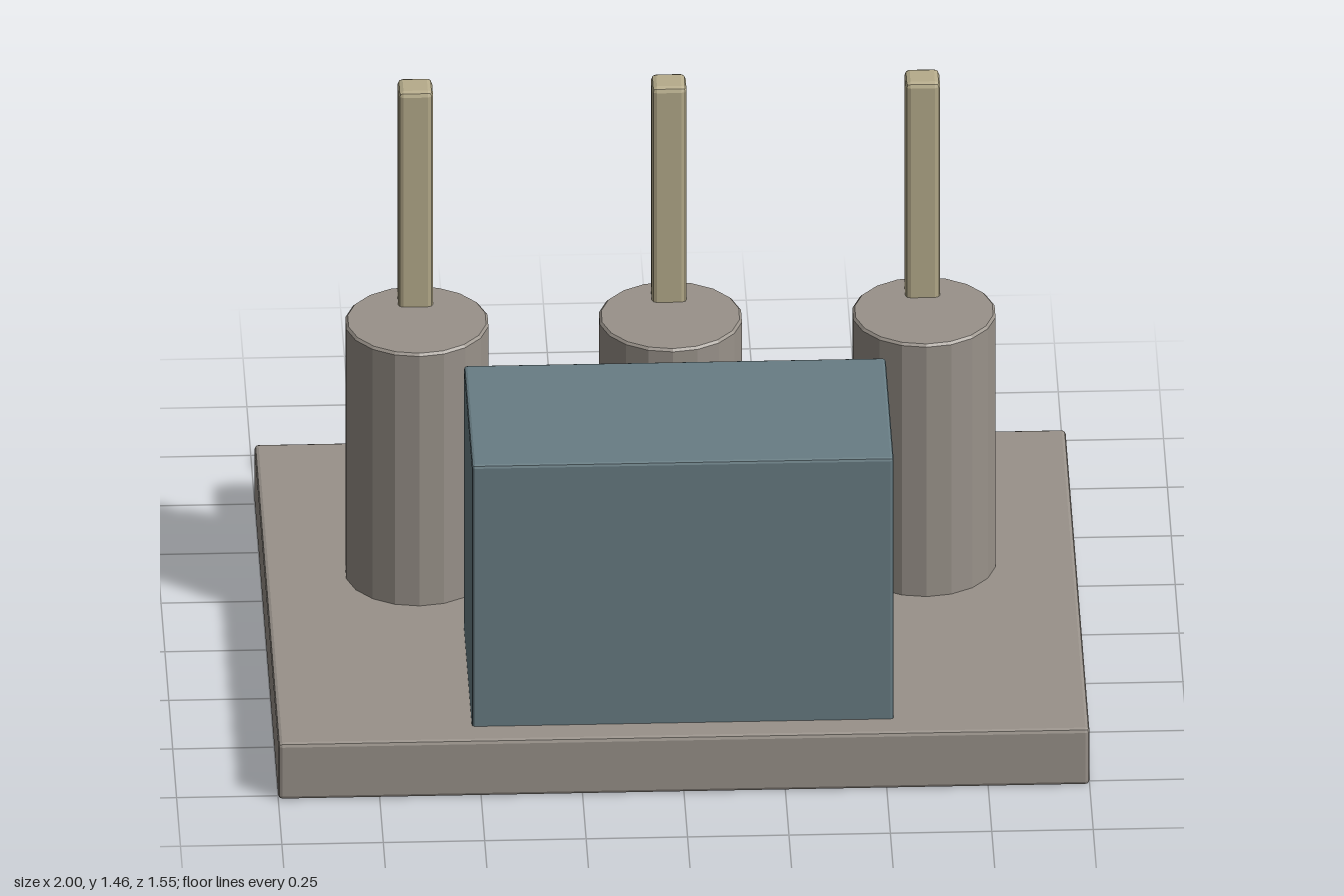
import * as THREE from 'three';
import { RoundedBoxGeometry } from 'three/addons/geometries/RoundedBoxGeometry.js';

const material = (name, color) => {
  const m = new THREE.MeshStandardMaterial({ color });
  m.name = name;
  return m;
};

// Give every face its own flat normal
function faceted(geometry) {
  const g = geometry.index ? geometry.toNonIndexed() : geometry;
  g.computeVertexNormals();
  return g;
}

// Box with a small chamfer, given by its extents on each axis
function block(name, mat, [x0, x1], [y0, y1], [z0, z1], bevel) {
  const g = faceted(new RoundedBoxGeometry(x1 - x0, y1 - y0, z1 - z0, 1, bevel));
  g.translate((x0 + x1) / 2, (y0 + y1) / 2, (z0 + z1) / 2);
  const mesh = new THREE.Mesh(g, mat);
  mesh.name = name;
  return mesh;
}

export function createModel() {
  const stone = material('warm grey', 0x99928a);
  const blue = material('slate blue', 0x687d84);
  const tan = material('pale tan', 0xb6ac8b);

  const model = new THREE.Group();
  model.name = 'pillarPlatform';

  // Base slab and the large block at the front
  model.add(block('base', stone, [-1, 1], [0, 0.157], [-0.773, 0.773], 0.01));
  model.add(block('frontBlock', blue, [-0.52, 0.52], [0.14, 0.888], [0.18, 0.7], 0.008));

  // Row of pillars, each with an upright post near its back edge
  const r = 0.178, top = 0.863, edge = 0.006;
  const profile = [[0, 0.14], [r, 0.14], [r, top - edge], [r - edge, top], [0, top]]
    .map(([x, y]) => new THREE.Vector2(x, y));
  const pillarGeometry = faceted(new THREE.LatheGeometry(profile, 18));

  for (const x of [-0.625, 0, 0.625]) {
    const pillar = new THREE.Mesh(pillarGeometry, stone);
    pillar.name = 'pillar';
    pillar.position.set(x, 0, -0.102);
    model.add(pillar);
    model.add(block('post', tan, [x - 0.043, x + 0.043], [0.84, 1.463], [-0.252, -0.168], 0.013));
  }
  return model;
}
